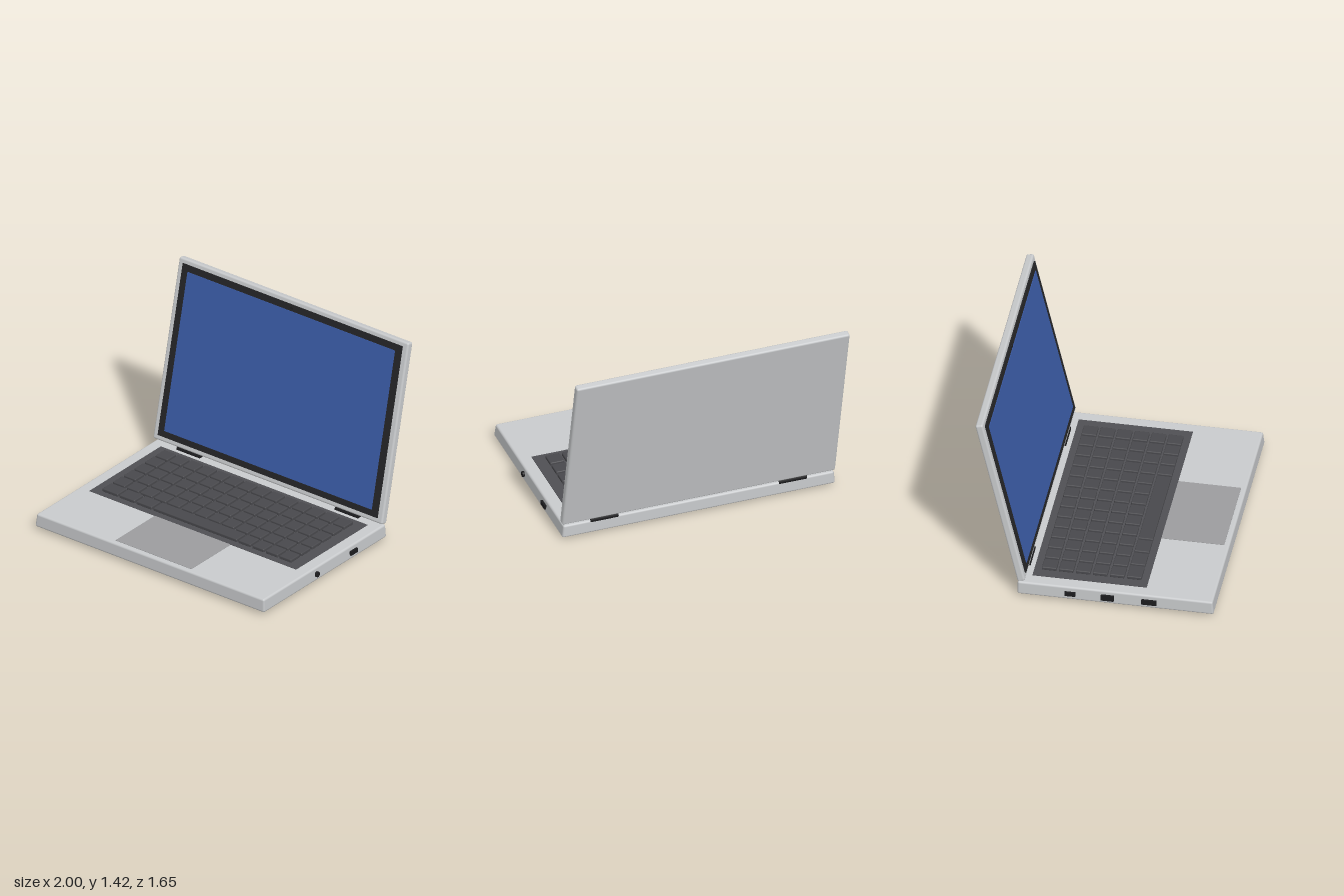
import * as THREE from 'three';
import { RoundedBoxGeometry } from 'three/addons/geometries/RoundedBoxGeometry.js';

const mat = (name, color) => {
  const m = new THREE.MeshStandardMaterial({ color });
  m.name = name;
  return m;
};

export function createModel() {
  const silver = mat('silver', 0xc8cacc);
  const padGrey = mat('trackpad grey', 0x9b9c9e);
  const deckGrey = mat('deck grey', 0x4f4f53);
  const keyGrey = mat('key grey', 0x48484c);
  const black = mat('black', 0x1c1c1e);
  const bezelBlack = mat('bezel black', 0x242426);
  const rubber = mat('rubber grey', 0x3a3a3c);
  const blue = mat('screen blue', 0x3a5aa4);

  const model = new THREE.Group();
  model.name = 'laptop';

  const add = (parent, name, geometry, material, x, y, z) => {
    const mesh = new THREE.Mesh(geometry, material);
    mesh.name = name;
    mesh.position.set(x, y, z);
    parent.add(mesh);
    return mesh;
  };
  const box = (w, h, d) => new THREE.BoxGeometry(w, h, d);
  const rounded = (w, h, d, r, s = 3) => new RoundedBoxGeometry(w, h, d, s, r);

  // Base shell, slightly narrower towards the top
  const baseGeo = rounded(1.98, 0.096, 1.358, 0.014);
  const p = baseGeo.attributes.position;
  for (let i = 0; i < p.count; i++) {
    const t = (p.getY(i) + 0.048) / 0.096;
    p.setX(i, p.getX(i) * (1 - 0.009 * t));
    if (p.getZ(i) > 0) p.setZ(i, p.getZ(i) - 0.01 * t);
  }
  add(model, 'base', baseGeo, silver, 0, 0.07, 0.146);

  // Keyboard deck and trackpad
  add(model, 'keyboardDeck', box(1.785, 0.006, 0.79), deckGrey, 0, 0.118, -0.05);
  add(model, 'trackpad', box(0.655, 0.006, 0.435), padGrey, 0, 0.1175, 0.5625);

  // Keys: five full rows, then a bottom row with wide keys and a space bar
  const keyboard = new THREE.Group();
  keyboard.name = 'keyboard';
  model.add(keyboard);
  const pitch = 0.1176, firstX = -0.77, firstZ = -0.343;
  const keyGeo = (w) => rounded(w, 0.026, 0.102, 0.007, 2);
  const squareKey = keyGeo(0.102);
  const addKey = (name, geo, x, row) => add(keyboard, name, geo, keyGrey, x, 0.13, firstZ + row * pitch);
  for (let row = 0; row < 6; row++) {
    for (let col = row === 5 ? 10 : 0; col < 14; col++) {
      addKey('key', squareKey, firstX + col * pitch, row);
    }
  }
  const wideKey = keyGeo(0.133);
  for (const x of [-0.754, -0.609, -0.461]) addKey('wideKey', wideKey, x, 5);
  addKey('spaceBar', keyGeo(0.72), -0.02, 5);

  // Lid, tilted back, with bezel, screen and camera on its front
  const lid = new THREE.Group();
  lid.name = 'lid';
  lid.position.set(0, 0.774, -0.652);
  lid.rotation.x = -0.225;
  model.add(lid);
  add(lid, 'lidShell', rounded(1.98, 1.318, 0.054, 0.014), silver, 0, 0, 0);
  add(lid, 'bezel', box(1.895, 1.246, 0.012), bezelBlack, 0, 0.002, 0.03);
  add(lid, 'screen', box(1.79, 1.154, 0.008), blue, 0, 0.002, 0.037);
  const camera = add(lid, 'webcam', new THREE.CylinderGeometry(0.01, 0.01, 0.012, 16), black, 0, 0.603, 0.038);
  camera.rotation.x = Math.PI / 2;

  // Hinges and rubber feet
  for (const side of [-1, 1]) {
    const hinge = add(model, 'hinge', new THREE.CylinderGeometry(0.029, 0.029, 0.202, 16), black, side * 0.683, 0.117, -0.506);
    hinge.rotation.z = Math.PI / 2;
    for (const z of [0.675, -0.383]) {
      add(model, 'foot', new THREE.CylinderGeometry(0.055, 0.055, 0.024, 24), rubber, side * 0.806, 0.012, z);
    }
  }

  // Ports: side, z centre, length, height
  const ports = [
    [1, -0.165, 0.075, 0.03],
    [-1, -0.168, 0.075, 0.03],
    [-1, 0.09, 0.09, 0.042],
    [-1, 0.378, 0.105, 0.036],
  ];
  for (const [side, z, length, height] of ports) {
    add(model, 'port', box(0.03, height, length), black, side * 0.985, 0.069, z);
  }
  const jack = add(model, 'audioJack', new THREE.CylinderGeometry(0.02, 0.02, 0.03, 20), black, 0.985, 0.069, 0.238);
  jack.rotation.z = Math.PI / 2;

  return model;
}
